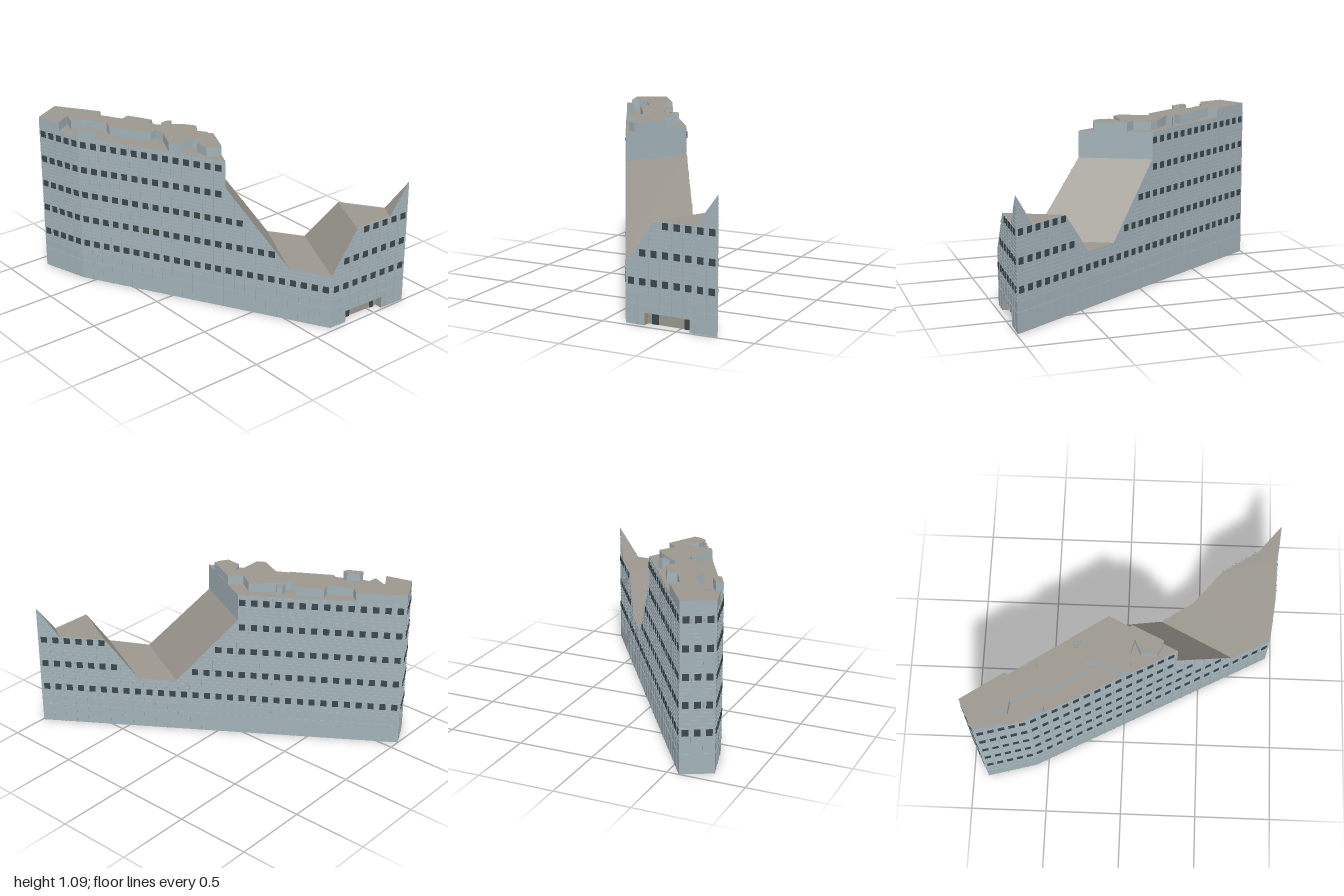
import * as THREE from 'three';
import { mergeGeometries } from 'three/addons/utils/BufferGeometryUtils.js';

const mat = (name, color, side = THREE.DoubleSide) =>
  Object.assign(new THREE.MeshStandardMaterial({ color, side }), { name });

// plan corners [x, z] and heights
const D = [0.145, 0.965], E = [0.765, 0.992], A = [-0.578, -1], B = [-0.768, -0.9], C = [-0.68, -0.58];
const LOW = 0.37, MID = 0.645, HIGH = 0.85, ROOF = 1.03, TOP = 1.09;

const atZ = (p, q, z) => [p[0] + (q[0] - p[0]) * (z - p[1]) / (q[1] - p[1]), z];
const east = z => atZ(E, A, z);
const west = z => atZ(C, D, z);
const front = x => [x, D[1] + (E[1] - D[1]) * (x - D[0]) / (E[0] - D[0])];
const dist = (p, q) => Math.hypot(p[0] - q[0], p[1] - q[1]);

export function createModel() {
  const facade = mat('facade blue grey', 0xa3b3ba);
  const roofMat = mat('roof warm grey', 0x9c9890);
  const glass = mat('dark glass', 0x3c464b);
  const group = new THREE.Group();
  const add = (name, geo, material, parent = group) => {
    const m = new THREE.Mesh(geo, material);
    m.name = name;
    parent.add(m);
    return m;
  };

  // flat polygon through [plan point, height] corners, fanned from the first
  const patch = (name, material, corners) => {
    const pos = [];
    for (let i = 1; i < corners.length - 1; i++)
      for (const [p, y] of [corners[0], corners[i], corners[i + 1]]) pos.push(p[0], y, p[1]);
    const g = new THREE.BufferGeometry();
    g.setAttribute('position', new THREE.Float32BufferAttribute(pos, 3));
    g.computeVertexNormals();
    add(name, g, material);
  };

  // parts of the level y that lie below the wall's top line
  const spans = (top, y) => {
    const out = [];
    for (let i = 0; i < top.length - 1; i++) {
      const [s0, h0] = top[i], [s1, h1] = top[i + 1];
      if (s1 - s0 < 1e-6 || Math.max(h0, h1) <= y) continue;
      const cut = s0 + (s1 - s0) * (y - h0) / ((h1 - h0) || 1);
      const a = h0 < y ? cut : s0, b = h1 < y ? cut : s1;
      const last = out[out.length - 1];
      if (last && Math.abs(last[1] - a) < 1e-6) last[1] = b;
      else out.push([a, b]);
    }
    return out;
  };
  const topAt = (top, s) => {
    for (let i = 0; i < top.length - 1; i++) {
      const [s0, h0] = top[i], [s1, h1] = top[i + 1];
      if (s1 > s0 && s <= s1) return h0 + (h1 - h0) * (s - s0) / (s1 - s0);
    }
    return top[top.length - 1][1];
  };

  // wall with its grid of ribs and rows of windows; door = [s0, s1, height]
  const wall = (name, p, q, topLine, panels, door) => {
    const len = dist(p, q), step = len / panels;
    const top = topLine.map(([pt, h]) => [dist(p, pt), h]);
    const g = new THREE.Group();
    g.name = name;
    const dir = new THREE.Vector3((q[0] - p[0]) / len, 0, (q[1] - p[1]) / len);
    const up = new THREE.Vector3(0, 1, 0);
    g.applyMatrix4(new THREE.Matrix4().makeBasis(dir, up, dir.clone().cross(up)).setPosition(p[0], 0, p[1]));
    group.add(g);

    const outline = [[0, 0]];
    if (door) outline.push([door[0], 0], [door[0], door[2]], [door[1], door[2]], [door[1], 0]);
    outline.push([len, 0], ...top.slice().reverse());
    add(name + 'Surface', new THREE.ShapeGeometry(new THREE.Shape(outline.map(o => new THREE.Vector2(...o)))), facade, g);

    const box = (s0, s1, y0, y1, d) =>
      new THREE.BoxGeometry(s1 - s0, y1 - y0, d).translate((s0 + s1) / 2, (y0 + y1) / 2, 0);
    const ribs = [], panes = [];
    for (let i = 1; i < panels; i++) {
      const s = i * step;
      const y0 = door && s > door[0] && s < door[1] ? door[2] : 0;
      ribs.push(box(s - 0.002, s + 0.002, y0, topAt(top, s), 0.006));
    }
    const levels = [0.13];
    for (let y = 0.2; y < ROOF - 0.01; y += 0.0247) levels.push(y);
    for (const y of levels)
      for (const [a, b] of spans(top, y)) if (b - a > 0.01) ribs.push(box(a, b, y - 0.0015, y + 0.0015, 0.005));
    for (let row = 0; row < 5; row++) {
      const y = 0.247 + row * 0.177;
      for (let i = 0; i < panels; i++) {
        const s = (i + 0.5) * step, w = 0.02;
        if (Math.min(topAt(top, s - w), topAt(top, s + w)) > y + 0.035)
          panes.push(box(s - w, s + w, y, Math.min(y + 0.042, topAt(top, s)), 0.009));
      }
    }
    add(name + 'Ribs', mergeGeometries(ribs), facade, g);
    if (panes.length) add(name + 'Windows', mergeGeometries(panes), glass, g);
    return g;
  };

  // outer walls
  const door = [0.128, 0.436, 0.08];
  const frontWall = wall('frontWall', D, E,
    [[D, LOW], [front(0.34), MID], [front(0.615), MID], [E, HIGH]], 8, door);
  wall('eastWall', E, A, [[E, HIGH], [east(0.87), MID], [east(0.62), MID], [east(0.44), LOW],
    [east(0.23), LOW], [east(-0.11), HIGH], [east(-0.11), ROOF], [A, ROOF]], 31);
  wall('backWall', A, B, [[A, ROOF], [B, ROOF]], 3);
  wall('westBackWall', B, C, [[B, ROOF], [C, ROOF]], 5);
  wall('westWall', C, D, [[C, ROOF], [west(0.33), ROOF], [west(0.33), HIGH], [west(0.71), LOW], [D, LOW]], 24);

  // recessed entrance with two doors
  const depth = 0.05, [d0, d1, dh] = door, mid = (d0 + d1) / 2;
  add('entranceBack', new THREE.PlaneGeometry(d1 - d0, dh).translate(mid, dh / 2, -depth), roofMat, frontWall);
  add('entranceCeiling', new THREE.PlaneGeometry(d1 - d0, depth).rotateX(Math.PI / 2)
    .translate(mid, dh, -depth / 2), roofMat, frontWall);
  for (const s of [d0, d1])
    add('entranceSide', new THREE.PlaneGeometry(depth, dh).rotateY(Math.PI / 2)
      .translate(s, dh / 2, -depth / 2), roofMat, frontWall);
  for (const [s, w] of [[0.178, 0.045], [0.392, 0.028]])
    add('door', new THREE.BoxGeometry(w, 0.062, 0.009).translate(s, 0.031, -depth + 0.002), glass, frontWall);

  // folded roof, from the tall block down to the front peak
  patch('mainTerrace', roofMat, [[B, ROOF], [C, ROOF], [west(0.33), ROOF], [east(-0.11), ROOF], [A, ROOF]]);
  patch('stepWall', facade, [[west(0.33), HIGH], [east(-0.11), HIGH], [east(-0.11), ROOF], [west(0.33), ROOF]]);
  patch('longSlope', roofMat, [[east(-0.11), HIGH], [west(0.33), HIGH], [west(0.71), LOW], [east(0.23), LOW]]);
  patch('valley', roofMat, [[east(0.23), LOW], [west(0.71), LOW], [D, LOW], [east(0.44), LOW]]);
  patch('risingRoof', roofMat, [[east(0.44), LOW], [D, LOW], [front(0.34), MID], [east(0.62), MID]]);
  patch('frontTerrace', roofMat, [[east(0.62), MID], [front(0.34), MID], [front(0.615), MID], [east(0.87), MID]]);
  patch('frontPeak', roofMat, [[east(0.87), MID], [front(0.615), MID], [E, HIGH]]);

  // raised, jagged islands on the main terrace
  const island = (name, pts) => {
    const shape = new THREE.Shape(pts.map(([x, z]) => new THREE.Vector2(x, -z)));
    const geo = new THREE.ExtrudeGeometry(shape, { depth: TOP - ROOF, bevelEnabled: false });
    add(name, geo.rotateX(-Math.PI / 2).translate(0, ROOF, 0), [roofMat, facade]);
  };
  island('raisedRoof', [
    A, B, [-0.722, -0.733], [-0.61, -0.8], [-0.65, -0.7], [-0.575, -0.69], [-0.48, -0.54], [-0.51, -0.465],
    [-0.36, -0.22], [-0.31, -0.235], [-0.3, -0.17], [-0.375, -0.01], [-0.345, 0.04], [-0.22, 0.04], [-0.15, 0.06],
    [-0.235, 0.1], [-0.24, 0.2], [-0.19, 0.23], [-0.15, 0.24], [-0.055, 0.04], [-0.125, -0.03], [-0.06, -0.13],
    [-0.1, -0.19], [-0.17, -0.25], [-0.25, -0.31], [-0.27, -0.37], [-0.22, -0.39], [-0.3, -0.55],
    [-0.36, -0.53], [-0.44, -0.68], east(-0.73)]);
  island('westIsland', [C, [-0.63, -0.485], [-0.6, -0.48], [-0.587, -0.52], [-0.635, -0.59]]);
  island('eastIsland', [[-0.21, -0.31], [-0.165, -0.27], [-0.13, -0.3], [-0.165, -0.32]]);

  return group;
}
